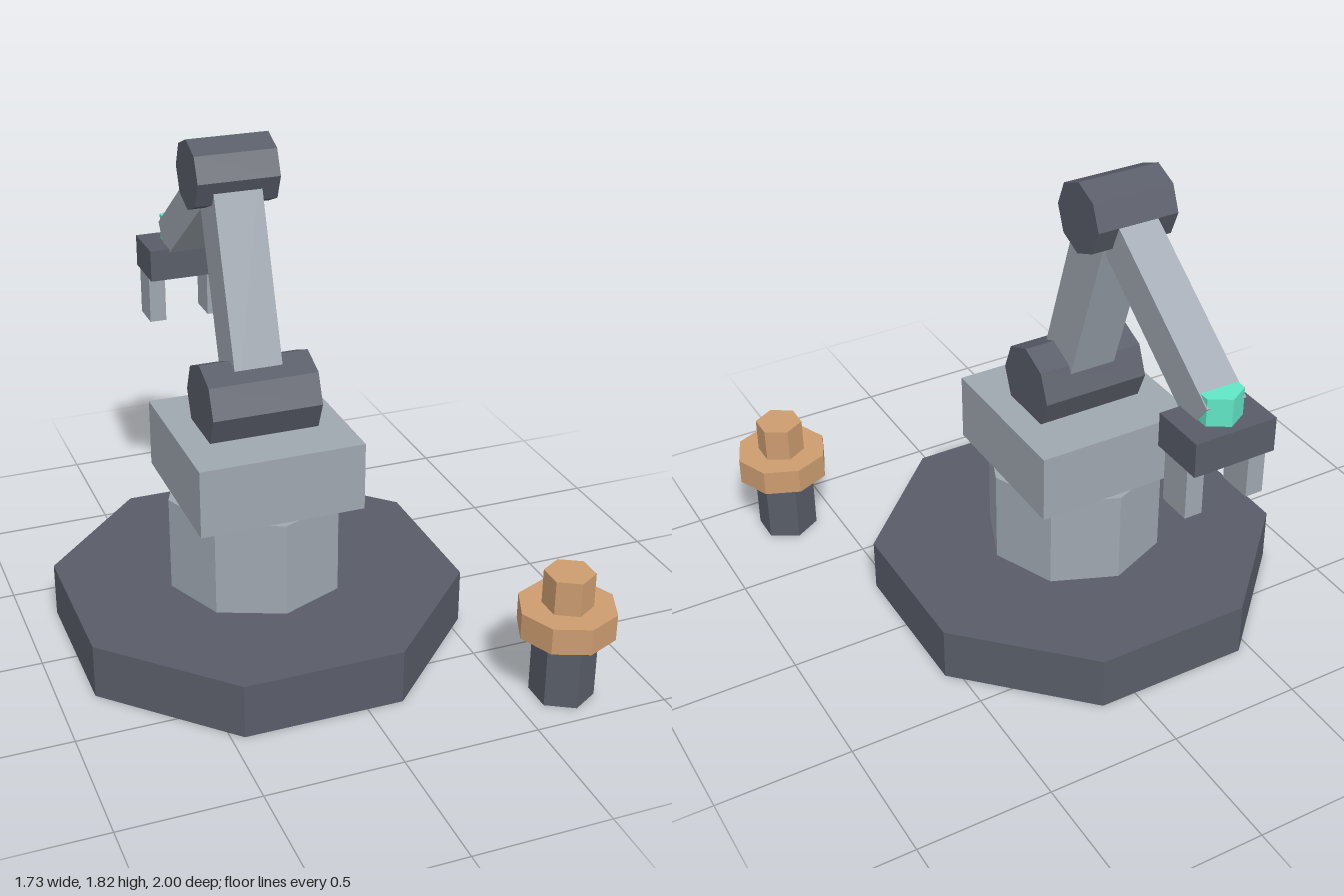
import * as THREE from 'three';

const material = (color) => new THREE.MeshStandardMaterial({ color, flatShading: true });

export function createModel() {
  const model = new THREE.Group();
  const dark = material(0x595d68);
  const light = material(0x9fa7b0);
  const copper = material(0xcc9c70);
  const green = material(0x62e6c6);

  const add = (name, geometry, mat, x, y, z, parent = model) => {
    const mesh = new THREE.Mesh(geometry, mat);
    mesh.name = name;
    mesh.position.set(x, y, z);
    parent.add(mesh);
    return mesh;
  };

  // Upright prism standing on y0
  const prism = (name, mat, sides, radius, y0, y1, x, z, parent) =>
    add(name, new THREE.CylinderGeometry(radius, radius, y1 - y0, sides), mat, x, (y0 + y1) / 2, z, parent);

  // Octagonal joint lying along x
  const joint = (name, radius, width, p) => {
    const geometry = new THREE.CylinderGeometry(radius, radius, width, 8).rotateZ(Math.PI / 2);
    return add(name, geometry, dark, p.x, p.y, p.z);
  };

  // Square beam running between two points in the plane of the arm
  const beam = (name, width, a, b) => {
    const mesh = add(name, new THREE.BoxGeometry(width, a.distanceTo(b), width), light, 0, 0, 0);
    mesh.position.copy(a).lerp(b, 0.5);
    mesh.rotation.x = Math.atan2(b.z - a.z, b.y - a.y);
  };

  const cx = -0.16;
  const cz = -0.027;

  // Base, column and turret
  prism('base', dark, 8, 0.768, 0, 0.205, cx, cz).rotation.y = Math.PI / 8;
  prism('column', light, 8, 0.333, 0.205, 0.565, cx, cz);
  add('turret', new THREE.BoxGeometry(0.615, 0.257, 0.615), light, cx, 0.693, cz);

  // Arm
  const shoulder = new THREE.Vector3(cx, 0.925, -0.025);
  const elbow = new THREE.Vector3(cx, 1.693, -0.28);
  const wrist = new THREE.Vector3(cx, 1.241, -0.893);
  joint('shoulderJoint', 0.153, 0.41, shoulder);
  joint('elbowJoint', 0.128, 0.305, elbow);
  beam('upperArm', 0.18, shoulder, elbow);
  beam('forearm', 0.15, elbow, wrist);

  // Gripper with two fingers and a signal light
  const gripper = new THREE.Group();
  gripper.name = 'gripper';
  model.add(gripper);
  add('palm', new THREE.BoxGeometry(0.305, 0.125, 0.205), dark, cx, 1.172, -0.897, gripper);
  for (const [name, side] of [['leftFinger', 1], ['rightFinger', -1]]) {
    add(name, new THREE.BoxGeometry(0.065, 0.187, 0.125), light, cx + side * 0.119, 1.018, -0.897, gripper);
  }
  prism('signalLight', green, 6, 0.082, 1.23, 1.335, cx, -0.89, gripper);

  // Separate post with a flanged cap
  const post = new THREE.Group();
  post.name = 'post';
  model.add(post);
  prism('postStem', dark, 6, 0.115, 0, 0.26, 0.686, 0.822, post);
  prism('postFlange', copper, 8, 0.178, 0.26, 0.36, 0.686, 0.822, post);
  prism('postKnob', copper, 6, 0.09, 0.36, 0.49, 0.686, 0.822, post);

  return model;
}
